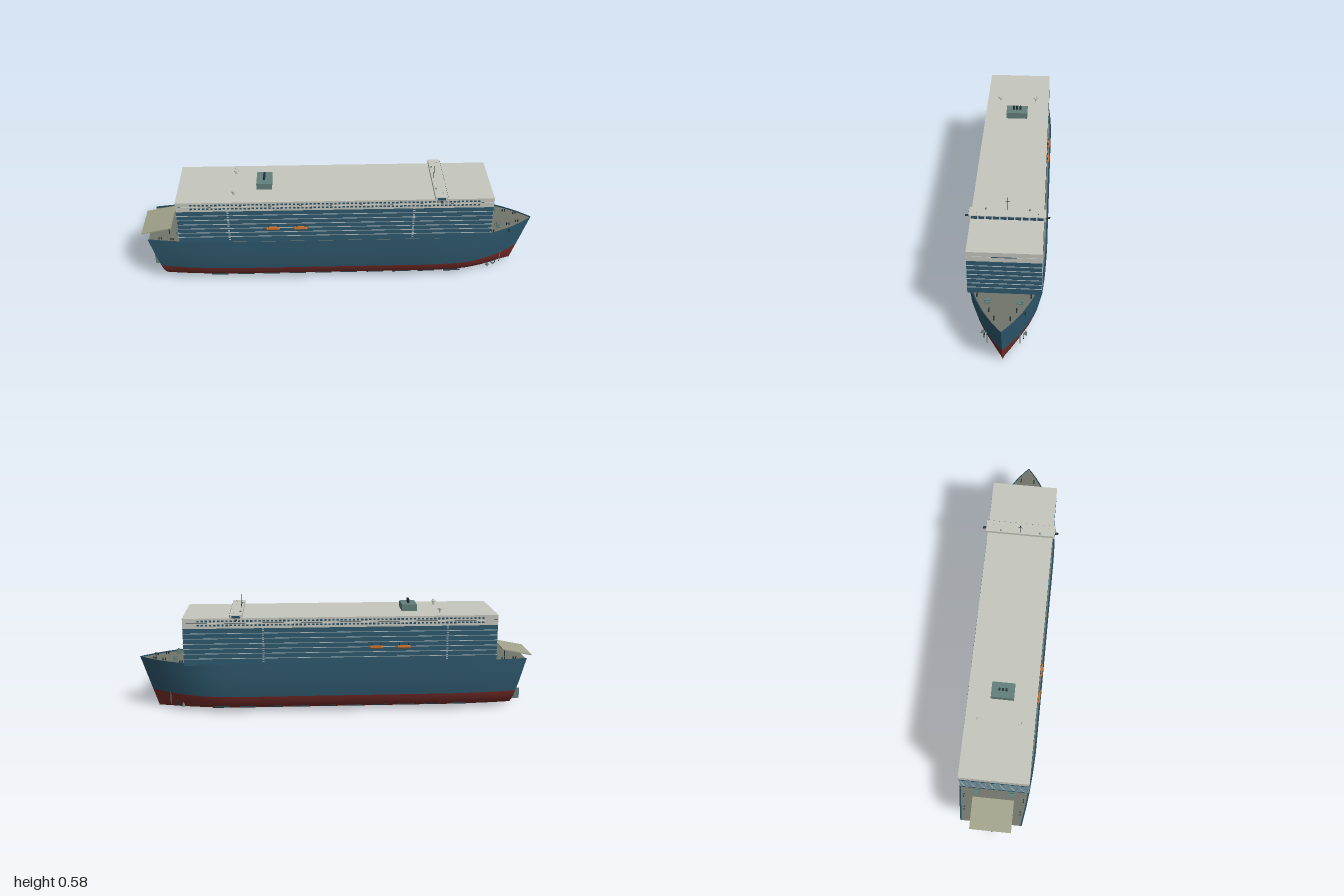
import * as THREE from 'three';
import { mergeGeometries, toCreasedNormals } from 'three/addons/utils/BufferGeometryUtils.js';

const paint = (color, side = THREE.FrontSide) => new THREE.MeshStandardMaterial({ color, side });
const blue = paint(0x2f5a70), red = paint(0x7a2f2b), white = paint(0xc6c7be), deckGrey = paint(0x70756a);
const teal = paint(0x64807c), dark = paint(0x26343a), glass = paint(0x2b5266), trim = paint(0x9fb0b4);
const orange = paint(0xc4702f), rampTan = paint(0xa3a48c), rimPaint = paint(0x24475a, THREE.DoubleSide);

// Deck outline: [x, half width], stern to bow
const STATIONS = [[-0.96, 0.147], [-0.88, 0.16], [-0.8, 0.17], [-0.7, 0.178], [-0.6, 0.183], [-0.2, 0.183],
  [0.2, 0.183], [0.45, 0.183], [0.55, 0.18], [0.65, 0.172], [0.72, 0.157], [0.8, 0.126], [0.87, 0.09],
  [0.93, 0.05], [0.97, 0.018], [0.99, 0]];
const BEAM = 0.183, DECK = 0.262;

// Stern and stem both rake outward with height
function hullX(x, y) {
  const k = y / DECK, u = (x + 0.96) / 1.95;
  return THREE.MathUtils.lerp(-0.89 - 0.07 * k, 0.905 + 0.085 * k, u);
}

// Skin through scaled copies of a row of [z, y] points; closed adds a flat transom
function loft(rows, closed = true) {
  const list = closed ? [[-0.96, 0], ...STATIONS] : STATIONS;
  const pos = [], idx = [], n = rows.length;
  list.forEach(([x, w], i) => rows.forEach(([z, y], j) => {
    pos.push(hullX(x, y), y, z * w / BEAM);
    if (i && j) {
      const b = i * n + j, a = b - n;
      idx.push(a - 1, a, b - 1, b - 1, a, b);
    }
  }));
  const g = new THREE.BufferGeometry();
  g.setAttribute('position', new THREE.Float32BufferAttribute(pos, 3));
  g.setIndex(idx);
  return toCreasedNormals(g.toNonIndexed(), 0.6);
}

export function createModel() {
  const ship = new THREE.Group();
  ship.name = 'ship';
  const add = (name, geo, mat, x = 0, y = 0, z = 0, parent = ship) => {
    const m = new THREE.Mesh(geo, mat);
    m.name = name;
    m.position.set(x, y, z);
    parent.add(m);
    return m;
  };
  const box = (name, mat, w, h, d, x, y, z = 0) => add(name, new THREE.BoxGeometry(w, h, d), mat, x, y, z);
  const tube = (name, mat, r, h, x, y, z, seg = 12) => add(name, new THREE.CylinderGeometry(r, r, h, seg), mat, x, y, z);

  // Hull below the waterline
  const half = [[0.168, 0.09], [0.16, 0.06], [0.145, 0.04], [0.125, 0.02], [0.07, 0.004], [0, 0]];
  const mirrored = half.slice(0, -1).reverse().map(([z, y]) => [-z, y]);
  add('lowerHull', loft([...half, ...mirrored]), red);

  // Hull sides above the waterline
  const side = [[0.183, DECK], [0.181, 0.2], [0.178, 0.145], [0.168, 0.09]];
  add('upperHullLeft', loft(side), blue);
  add('upperHullRight', loft(side.map(([z, y]) => [-z, y]).reverse()), blue);

  // Deck inside a low bulwark
  add('deck', loft([[-0.176, 0.256], [0.176, 0.256]], false), deckGrey);
  for (const s of [-1, 1])
    add('bulwark', loft([[s * 0.183, DECK], [s * 0.175, DECK], [s * 0.175, 0.254]], false), rimPaint);

  // Garage tiers with projecting bands
  box('garageBlock', blue, 1.55, 0.186, 0.33, -0.025, 0.348);
  for (const y of [0.289, 0.314, 0.339, 0.364, 0.39, 0.416])
    box('deckBand', trim, 1.554, 0.003, 0.334, -0.025, y);

  // White accommodation tiers
  box('lowerAccommodation', white, 1.55, 0.025, 0.332, -0.025, 0.4535);
  box('accommodationGap', dark, 1.545, 0.003, 0.327, -0.025, 0.4667);
  box('upperAccommodation', white, 1.55, 0.024, 0.332, -0.025, 0.48);
  box('gapUnderAccommodation', dark, 1.545, 0.003, 0.327, -0.025, 0.44);
  box('frontWindowStrip', glass, 0.003, 0.003, 0.11, 0.75, 0.467);

  // Cabin windows along both sides
  const panes = [];
  for (const s of [-1, 1])
    for (const y of [0.478, 0.457])
      for (let i = 0; i < 71; i++)
        panes.push(new THREE.BoxGeometry(0.011, 0.008, 0.003).translate(-0.725 + i * 0.02, y, s * 0.166));
  add('cabinWindows', mergeGeometries(panes), glass);

  // Bridge across the full beam
  box('bridge', white, 0.06, 0.024, 0.35, 0.49, 0.497);
  box('bridgeWing', dark, 0.012, 0.002, 0.386, 0.49, 0.486);
  for (let i = 0; i < 10; i++)
    box('bridgeWindow', glass, 0.004, 0.014, 0.026, 0.52, 0.499, -0.15 + i * 0.0333);
  for (const s of [-1, 1]) {
    box('bridgeEndWindow', glass, 0.04, 0.012, 0.003, 0.49, 0.499, s * 0.175);
    tube('bridgeLampPost', dark, 0.0015, 0.006, 0.5, 0.511, s * 0.14, 6);
    add('bridgeLamp', new THREE.SphereGeometry(0.003, 8, 6), white, 0.5, 0.514, s * 0.14);
    tube('antennaBase', teal, 0.004, 0.006, 0.47, 0.511, s * 0.1, 8);
  }
  tube('mast', dark, 0.0015, 0.07, 0.47, 0.542, 0, 6);
  box('mastYard', dark, 0.002, 0.002, 0.02, 0.47, 0.555);

  // Funnel casing and exhaust pipes
  box('funnelCasing', teal, 0.076, 0.034, 0.11, -0.373, 0.508);
  for (const z of [-0.017, 0, 0.017]) tube('exhaustPipe', dark, 0.005, 0.022, -0.373, 0.535, z);

  for (const s of [-1, 1]) {
    // Roof ventilators
    tube('ventStem', white, 0.005, 0.018, -0.52, 0.5, s * 0.095);
    tube('ventCap', white, 0.012, 0.004, -0.52, 0.511, s * 0.095, 16);
    add('ventCowl', new THREE.SphereGeometry(0.006, 10, 8), white, -0.52, 0.514, s * 0.105);

    // Lifeboats and their davits
    for (const x of [-0.333, -0.197]) {
      const hull = new THREE.CapsuleGeometry(0.008, 0.054, 4, 12).rotateZ(Math.PI / 2);
      add('lifeboat', hull, orange, x, 0.338, s * 0.171);
      box('lifeboatCanopy', orange, 0.045, 0.006, 0.01, x, 0.343, s * 0.172);
      for (const dx of [-0.022, 0.022]) box('davit', dark, 0.003, 0.012, 0.008, x + dx, 0.35, s * 0.168);
    }

    // Boarding ladders on the garage sides
    for (const x of [-0.55, 0.36])
      for (let i = 0; i < 16; i++) box('ladderRung', trim, 0.01, 0.004, 0.003, x, 0.272 + i * 0.0112, s * 0.167);

    // Mooring winches and bollards, bow and stern
    for (const [x, z] of [[0.805, 0.072], [-0.815, 0.085]]) {
      const winch = new THREE.Group();
      winch.name = 'winch';
      winch.position.set(x, 0.256, s * z);
      ship.add(winch);
      add('winchBed', new THREE.BoxGeometry(0.024, 0.006, 0.03), teal, 0, 0.003, 0, winch);
      add('winchDrum', new THREE.CylinderGeometry(0.006, 0.006, 0.026, 12).rotateX(Math.PI / 2), teal, 0, 0.012, 0, winch);
      for (const dz of [-0.012, 0.012])
        add('winchFlange', new THREE.CylinderGeometry(0.01, 0.01, 0.003, 14).rotateX(Math.PI / 2), teal, 0, 0.012, dz, winch);
    }
    for (const [x, z] of [[0.77, 0.12], [0.86, 0.06], [0.91, 0.035], [-0.9, 0.135], [-0.84, 0.145]])
      for (const dx of [-0.006, 0.006]) tube('bollard', dark, 0.003, 0.014, x + dx, 0.262, s * z, 8);

    // Anchors and hawse pipes near the bow
    tube('hawsePipe', dark, 0.006, 0.008, 0.86, 0.25, s * 0.093).rotation.x = Math.PI / 2;
    box('anchorShank', dark, 0.004, 0.02, 0.004, 0.862, 0.247, s * 0.098);

    // Bow thruster guards and draught post
    box('draughtPost', teal, 0.004, 0.064, 0.004, 0.835, 0.064, s * 0.075);
    const fin = new THREE.ConeGeometry(0.012, 0.024, 3);
    add('bowFin', fin, teal, 0.77, 0.036, s * 0.098);
    const ring = new THREE.TorusGeometry(0.01, 0.002, 6, 16);
    add('thrusterRing', ring, dark, 0.8, 0.04, s * 0.09);

    // Broken bilge keel
    for (let i = 0; i < 10; i++) {
      const keel = box('bilgeKeel', dark, 0.085, 0.003, 0.008, -0.62 + i * 0.133, 0.028, s * 0.134);
      keel.rotation.x = s * 0.7;
    }
  }

  // Stern ramp, raised towards the house
  const ramp = box('sternRamp', rampTan, 0.153, 0.005, 0.2, -0.923, 0.281);
  ramp.rotation.z = 0.2;
  for (const s of [-1, 1]) box('rampStay', dark, 0.004, 0.038, 0.004, -0.86, 0.274, s * 0.09);

  // Rudder and propeller
  box('rudder', teal, 0.056, 0.054, 0.008, -0.943, 0.031);
  add('propellerShaft', new THREE.CylinderGeometry(0.005, 0.005, 0.04, 10).rotateZ(Math.PI / 2), dark, -0.9, 0.028, 0);
  for (let i = 0; i < 4; i++) {
    const blade = new THREE.BoxGeometry(0.003, 0.018, 0.009).rotateY(0.5).translate(0, 0.011, 0).rotateX(i * Math.PI / 2);
    add('propellerBlade', blade, dark, -0.911, 0.028, 0);
  }
  return ship;
}
